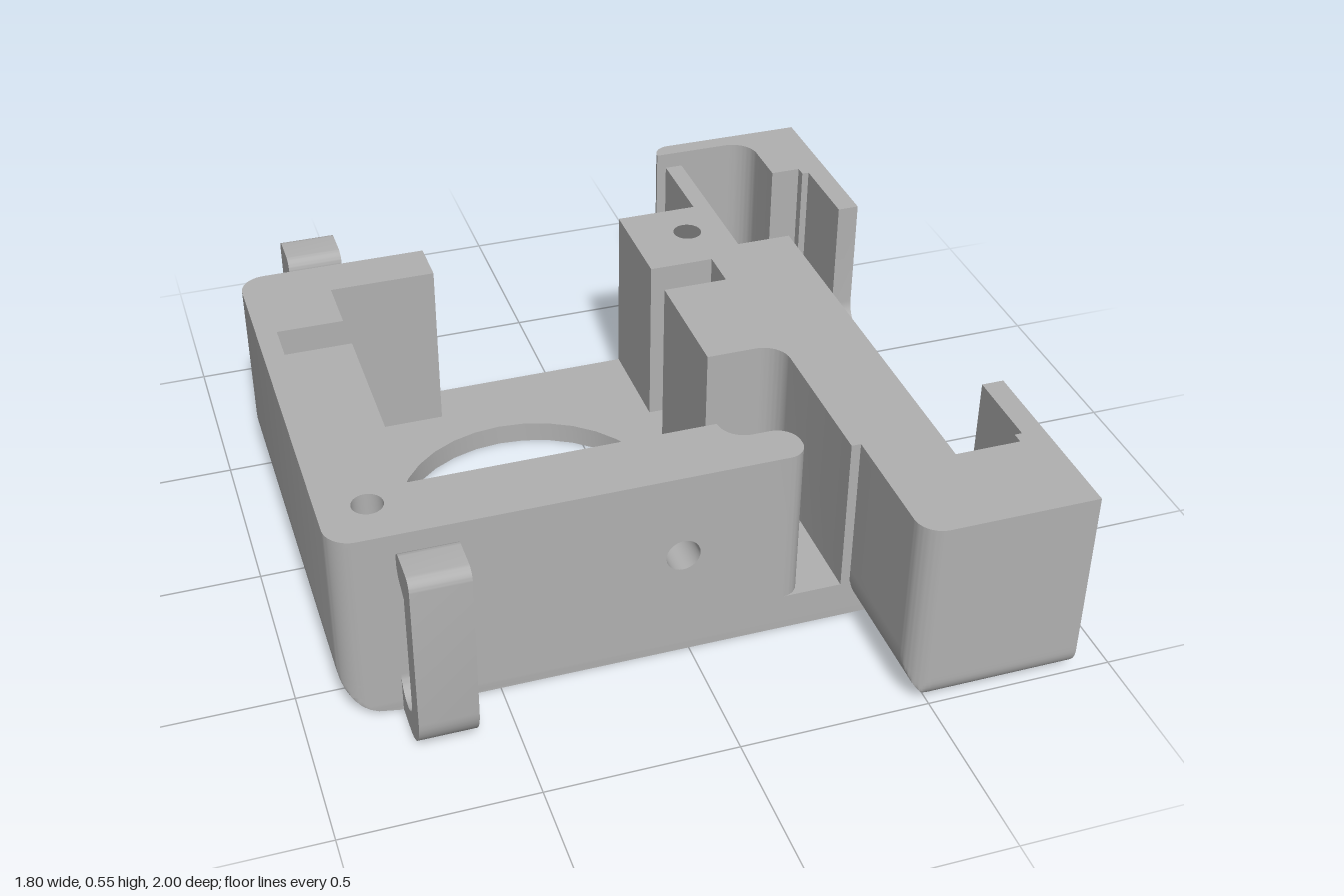
import * as THREE from 'three';
import { toCreasedNormals } from 'three/addons/utils/BufferGeometryUtils.js';

const H = 0.55;        // overall height
const FLOOR = 0.06;    // main pocket floor
const LEDGE = 0.105;   // raised floor beside the front slot and in the side bar

// Closed outline from [u, v, cornerRadius] points
function outline(points) {
  const path = new THREE.Shape();
  const n = points.length;
  points.forEach(([u, v, r = 0], i) => {
    const p = new THREE.Vector2(u, v);
    const toward = (q, d) => {
      const dir = new THREE.Vector2(q[0] - u, q[1] - v).normalize();
      return p.clone().addScaledVector(dir, d);
    };
    const prev = points[(i + n - 1) % n], next = points[(i + 1) % n];
    const a = toward(prev, r), b = toward(next, r);
    if (i === 0) path.moveTo(a.x, a.y); else path.lineTo(a.x, a.y);
    if (r) {
      const c = toward(prev, r * 0.4477), d = toward(next, r * 0.4477);
      path.bezierCurveTo(c.x, c.y, d.x, d.y, b.x, b.y);
    }
  });
  path.closePath();
  return path;
}

function circle(u, v, r) {
  return new THREE.Path().absarc(u, v, r, 0, Math.PI * 2, true);
}

// How far a bottom fillet of radius r cuts in at height y
function inset(y, r) {
  const drop = THREE.MathUtils.clamp(r - y, 0, r);
  return r - Math.sqrt(Math.max(0, r * r - drop * drop));
}

export function createModel() {
  const group = new THREE.Group();
  const grey = new THREE.MeshStandardMaterial({ color: 0xb0b0b0 });
  grey.name = 'plain grey';

  function add(name, geometry) {
    const mesh = new THREE.Mesh(toCreasedNormals(geometry, 0.6), grey);
    mesh.name = name;
    group.add(mesh);
  }

  // Plan outline in [x, z], raised from y0 to y1; fillet moves vertices by height
  function slab(name, points, y0, y1, steps, fillet, holes = []) {
    const shape = outline(points.map(([x, z, r]) => [x, -z, r]));
    holes.forEach(([x, z, r]) => shape.holes.push(circle(x, -z, r)));
    const geo = new THREE.ExtrudeGeometry(shape, {
      depth: y1 - y0, steps, bevelEnabled: false, curveSegments: 16,
    });
    geo.rotateX(-Math.PI / 2).translate(0, y0, 0);
    const pos = geo.attributes.position;
    for (let i = 0; fillet && i < pos.count; i++) {
      const [x, z] = fillet(pos.getX(i), pos.getY(i), pos.getZ(i));
      pos.setX(i, x);
      pos.setZ(i, z);
    }
    add(name, geo);
  }

  // Side outline in [z, y], run along x
  function sideProfile(name, points, x0, x1) {
    const geo = new THREE.ExtrudeGeometry(outline(points), {
      depth: x1 - x0, bevelEnabled: false, curveSegments: 10,
    });
    geo.rotateY(-Math.PI / 2).translate(x1, 0, 0);
    add(name, geo);
  }

  const bodyFillet = (x, y, z) => [Math.max(x, -0.9 + inset(y, 0.14)), z];
  const barFillet = (x, y, z) => {
    const zMax = 1 - inset(y, 0.07);
    return [Math.max(x, 0.44 + inset(y, 0.13)), THREE.MathUtils.clamp(z, -zMax, zMax)];
  };

  // Main floor with the large round opening
  slab('bodyFloor', [
    [-0.9, -0.62, 0.07], [-0.9, 0.62, 0.07], [0.57, 0.62], [0.57, -0.62],
  ], 0, FLOOR, 6, bodyFillet, [[-0.23, -0.02, 0.37]]);

  // Lower rim around the main pocket, open at the back
  const leftNotch = [
    [-0.665, -0.21], [-0.845, -0.21], [-0.845, -0.325],
    [-0.665, -0.325], [-0.665, -0.49], [-0.375, -0.49],
  ];
  const rightNotch = [[0.21, -0.325], [0.39, -0.325], [0.39, -0.21], [0.21, -0.21]];
  slab('lowerRim', [
    [-0.375, -0.62], [-0.9, -0.62, 0.07], [-0.9, 0.62, 0.07], [0.57, 0.62], [0.57, -0.62],
    [0.21, -0.62], ...rightNotch, [0.21, 0.43], [-0.665, 0.43], ...leftNotch,
  ], FLOOR, LEDGE, 4, bodyFillet);

  // Upper walls
  slab('leftWall', [
    [-0.375, -0.62], [-0.9, -0.62, 0.07], [-0.9, 0.62, 0.07], [-0.2, 0.62],
    [-0.2, 0.43], [-0.665, 0.43], ...leftNotch,
  ], LEDGE, H, 24, bodyFillet, [[-0.775, 0.485, 0.04]]);
  slab('rightWall', [
    [0.21, -0.62], [0.44, -0.62], [0.44, 0.62], [0.415, 0.62], [0.415, 0.14, 0.07],
    [0.21, 0.14], ...rightNotch.slice().reverse(),
  ], LEDGE, H, 1, null, [[0.375, -0.49, 0.04]]);
  slab('frontWallTip', [
    [0.13, 0.43], [0.13, 0.5, 0.069], [0.305, 0.5, 0.06], [0.305, 0.62, 0.05], [0.13, 0.62],
  ], LEDGE, H, 1);

  // Front wall panel with a cross hole
  const panel = outline([[-0.2, LEDGE], [0.13, LEDGE], [0.13, H], [-0.2, H]]);
  panel.holes.push(circle(-0.02, 0.31, 0.045));
  add('frontWallPanel', new THREE.ExtrudeGeometry(panel, {
    depth: 0.19, bevelEnabled: false, curveSegments: 16,
  }).translate(0, 0, 0.43));

  // Side bar: base and the two blocks around its stepped pocket
  slab('barBase', [
    [0.44, -1, 0.065], [0.44, 1, 0.065], [0.9, 1], [0.9, -1],
  ], 0, LEDGE, 10, barFillet);
  slab('barBackBlock', [
    [0.44, -0.95], [0.44, -1, 0.049], [0.9, -1], [0.9, -0.71], [0.82, -0.71],
    [0.82, -0.74], [0.735, -0.74], [0.735, -0.95, 0.075],
  ], LEDGE, H, 20, barFillet);
  slab('barFrontBlock', [
    [0.44, -0.87], [0.49, -0.87], [0.49, -0.38], [0.645, -0.38], [0.645, 0.73],
    [0.82, 0.73], [0.82, 0.7], [0.9, 0.7], [0.9, 1], [0.44, 1, 0.065],
  ], LEDGE, H, 20, barFillet);

  // Outer wall of the bar with a U-shaped cutout
  sideProfile('barOuterWall', [
    [-0.71, LEDGE], [0.7, LEDGE], [0.7, H], [0.475, H], [0.475, 0.155, 0.07],
    [-0.475, 0.155, 0.07], [-0.475, H], [-0.71, H],
  ], 0.84, 0.9);

  // Spring clips, front and back
  for (const side of [1, -1]) {
    sideProfile(side > 0 ? 'frontClip' : 'backClip', [
      [0.6, 0], [0.805, 0, 0.11], [0.805, H, 0.03], [0.67, H, 0.03], [0.67, 0.48, 0.025],
      [0.735, 0.45], [0.735, 0.065, 0.055], [0.62, 0.065, 0.05], [0.62, 0.2], [0.6, 0.2],
    ].map(([z, y, r]) => [z * side, y, r]), -0.75, -0.6);
  }

  return group;
}
